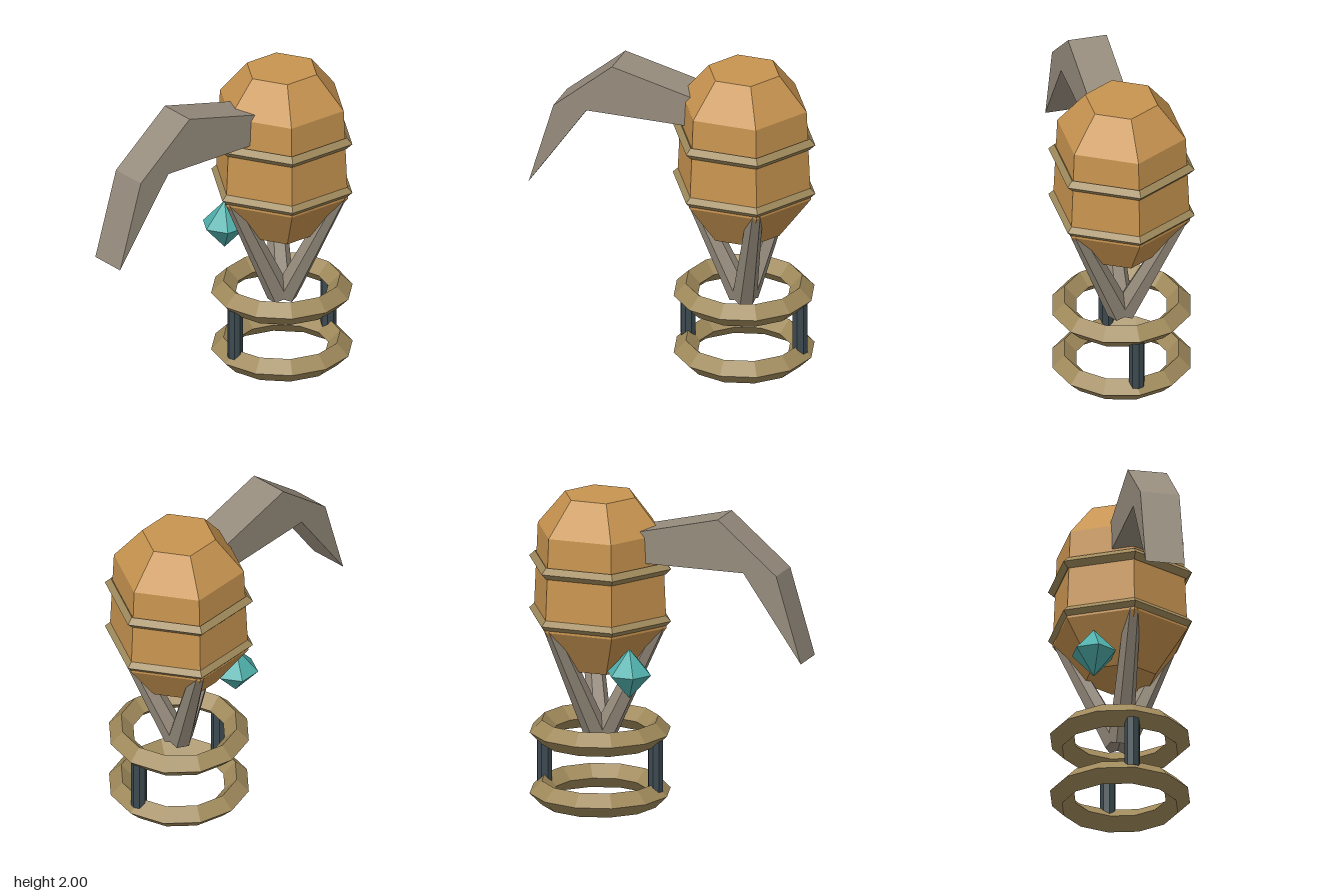
import * as THREE from 'three';

const AXIS_X = 0.455; // vertical axis of the barrel and its stand

function material(color) {
  return new THREE.MeshStandardMaterial({ color, flatShading: true });
}
const WOOD = material(0xc89450);
const BRASS = material(0xa08a5c);
const STONE = material(0x968c7d);
const IRON = material(0x3c4a50);
const CRYSTAL = material(0x4fb0ac);

function add(parent, name, geometry, mat, x = 0, y = 0, z = 0) {
  const mesh = new THREE.Mesh(geometry, mat);
  mesh.name = name;
  mesh.position.set(x, y, z);
  parent.add(mesh);
  return mesh;
}

// Six-sided solid of revolution with corners on +x and -x; profile runs bottom to top
function hexLathe(profile) {
  const points = profile.map(([r, y]) => new THREE.Vector2(r, y));
  return new THREE.LatheGeometry(points, 6, Math.PI / 2);
}

// Horizontal ring with a diamond cross-section
function ring(radius, tube, sides) {
  return new THREE.TorusGeometry(radius, tube, 4, sides).rotateX(-Math.PI / 2);
}

// Tapered six-sided bar from a (bottom) to b (top), leaning outward at the given angle
function strut(angle) {
  const bottom = new THREE.Vector2(0.02, 0.44);
  const top = new THREE.Vector2(0.395, 1.2);
  const d = top.clone().sub(bottom);
  const g = new THREE.CylinderGeometry(0.05, 0.08, d.length(), 6);
  g.rotateZ(-Math.atan2(d.x, d.y));
  g.translate((bottom.x + top.x) / 2, (bottom.y + top.y) / 2, 0);
  return g.rotateY(angle);
}

export function createModel() {
  const model = new THREE.Group();
  model.name = 'barrelWithHook';

  const tower = new THREE.Group();
  tower.name = 'barrelAndStand';
  tower.position.x = AXIS_X;
  model.add(tower);

  // Barrel with closed top and bottom
  add(tower, 'barrel', hexLathe([
    [0, 0.89], [0.235, 0.89], [0.445, 1.175], [0.417, 1.78], [0.235, 2.0], [0, 2.0],
  ]), WOOD);

  // Hexagonal bands round the barrel
  for (const y of [1.22, 1.558]) {
    add(tower, 'barrelBand', ring(0.4375, 0.0375, 6), BRASS, 0, y);
  }

  // Base rings and the posts between them
  for (const y of [0.078, 0.472]) {
    add(tower, 'baseRing', ring(0.37, 0.078, 12), BRASS, 0, y);
  }
  for (const side of [-1, 1]) {
    add(tower, 'ringPost', new THREE.CylinderGeometry(0.05, 0.05, 0.33, 8),
      IRON, side * 0.372, 0.275);
  }

  // Three struts spreading from the stand up to the barrel
  for (let i = 0; i < 3; i++) {
    add(tower, 'supportStrut', strut(Math.PI + (i * Math.PI * 2) / 3), STONE);
  }

  // Crystal tucked under the barrel at the back
  add(model, 'crystal', hexLathe([[0, -0.16], [0.145, 0], [0, 0.16]]),
    CRYSTAL, 0.175, 0.92, -0.225);

  // Curved hook, its root sunk into the barrel
  const outline = [
    [0.3, 1.78], [-0.38, 1.945], [-0.77, 1.615], [-0.935, 1.06], [-0.55, 1.615], [0.3, 1.615],
  ].map(([x, y]) => new THREE.Vector2(x, y));
  const hook = new THREE.ExtrudeGeometry(new THREE.Shape(outline), {
    depth: 0.25, bevelEnabled: false,
  });
  add(model, 'hook', hook, STONE, 0, 0, -0.125);

  return model;
}
